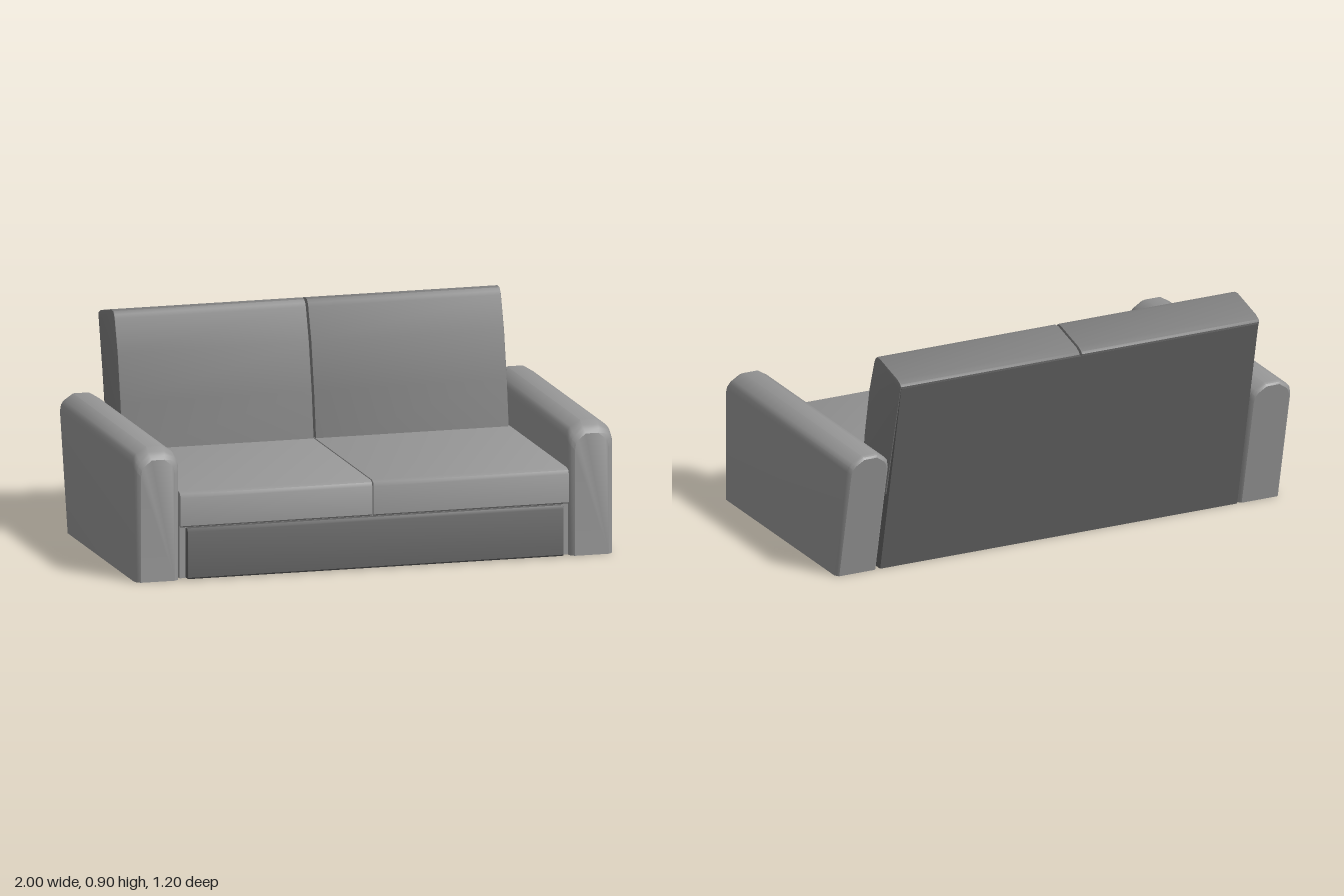
import * as THREE from 'three';
import { toCreasedNormals } from 'three/addons/utils/BufferGeometryUtils.js';

const fabric = new THREE.MeshStandardMaterial({ color: 0x969696 });
const backFabric = new THREE.MeshStandardMaterial({ color: 0x7e7e7e });
const darkFabric = new THREE.MeshStandardMaterial({ color: 0x616161 });

function addMesh(parent, name, geometry, material) {
  const mesh = new THREE.Mesh(geometry, material);
  mesh.name = name;
  parent.add(mesh);
  return mesh;
}

// Extrudes a side profile of [z, y] points across x, from x0 to x1
function acrossX(profile, x0, x1, bevel = 0) {
  const shape = new THREE.Shape(profile.map(([z, y]) => new THREE.Vector2(z, y)));
  const geometry = new THREE.ExtrudeGeometry(shape, {
    depth: x1 - x0 - 2 * bevel,
    bevelEnabled: bevel > 0,
    bevelSize: bevel,
    bevelThickness: bevel,
    bevelOffset: -bevel,
    bevelSegments: 2,
  });
  geometry.translate(0, 0, bevel - (x1 - x0) / 2);
  geometry.rotateY(-Math.PI / 2);
  geometry.translate((x0 + x1) / 2, 0, 0);
  return toCreasedNormals(geometry, 0.6);
}

// Skins equal-length rings ordered front to back and caps both ends
function loft(rings) {
  const n = rings[0].length;
  const positions = rings.flat(2);
  const index = [];
  for (let i = 0; i < rings.length - 1; i++) {
    for (let j = 0; j < n; j++) {
      const a = i * n + j;
      const b = i * n + (j + 1) % n;
      index.push(a, a + n, b, b, a + n, b + n);
    }
  }
  const last = (rings.length - 1) * n;
  for (let j = 1; j < n - 1; j++) {
    index.push(0, j, j + 1, last, last + j + 1, last + j);
  }
  const geometry = new THREE.BufferGeometry();
  geometry.setAttribute('position', new THREE.Float32BufferAttribute(positions, 3));
  geometry.setIndex(index);
  return toCreasedNormals(geometry, 0.6);
}

// Armrest: chamfered top, softened front, back end leaning with the backrest
function armGeometry() {
  const half = [[1, 0], [1, 0.48], [0.93, 0.505], [0.8, 0.52], [0.36, 0.545]];
  const section = [...half, ...half.map(([u, y]) => [-u, y]).reverse()];
  const ring = (z, inset, drop, lean) => section.map(([u, y]) => {
    const height = y > 0 ? y - drop : 0;
    return [u * (0.0925 - inset), height, z - lean * height];
  });
  return loft([
    ring(0.59, 0.021, 0.045, 0),
    ring(0.578, 0.007, 0.028, 0),
    ring(0.56, 0, 0.016, 0),
    ring(0.53, 0, 0, 0),
    ring(-0.39, 0, 0, 0.23),
    ring(-0.403, 0.005, 0.004, 0.23),
    ring(-0.411, 0.013, 0.012, 0.23),
  ]);
}

export function createModel() {
  const sofa = new THREE.Group();
  sofa.name = 'sofa';

  // Base under the seat, with a raised front panel
  addMesh(sofa, 'base', acrossX([[-0.3, 0.004], [0.57, 0.004], [0.57, 0.215], [-0.3, 0.215]],
    -0.812, 0.812), fabric);
  addMesh(sofa, 'frontPanel', acrossX([[0.55, 0.004], [0.594, 0.004], [0.599, 0.01],
    [0.599, 0.198], [0.592, 0.212], [0.55, 0.212]], -0.787, 0.788, 0.006), darkFabric);

  // Leaning back frame: one panel from the floor up behind both cushions
  addMesh(sofa, 'backFrame', acrossX([[-0.41, 0], [-0.28, 0], [-0.45, 0.8],
    [-0.575, 0.836], [-0.597, 0.836]], -0.808, 0.802), darkFabric);

  // Seat and back cushions, two of each
  const seat = [[-0.36, 0.214], [0.576, 0.214], [0.582, 0.22], [0.582, 0.335],
    [0.575, 0.351], [0.557, 0.358], [-0.36, 0.358]];
  const back = [[-0.465, 0.34], [-0.25, 0.34], [-0.28, 0.545], [-0.32, 0.74], [-0.364, 0.875],
    [-0.372, 0.89], [-0.385, 0.902], [-0.41, 0.905], [-0.57, 0.868], [-0.595, 0.855],
    [-0.6, 0.845], [-0.592, 0.826]];
  const halves = [
    ['right', [-0.812, -0.008], [-0.812, -0.01]],
    ['left', [-0.004, 0.814], [-0.002, 0.806]],
  ];
  for (const [side, seatSpan, backSpan] of halves) {
    addMesh(sofa, side + 'SeatCushion', acrossX(seat, ...seatSpan, 0.003), fabric);
    addMesh(sofa, side + 'BackCushion', acrossX(back, ...backSpan, 0.004), backFabric);
  }

  // Matching armrests
  const arm = armGeometry();
  for (const s of [-1, 1]) {
    addMesh(sofa, s < 0 ? 'rightArm' : 'leftArm', arm, fabric).position.x = s * 0.9075;
  }
  return sofa;
}
